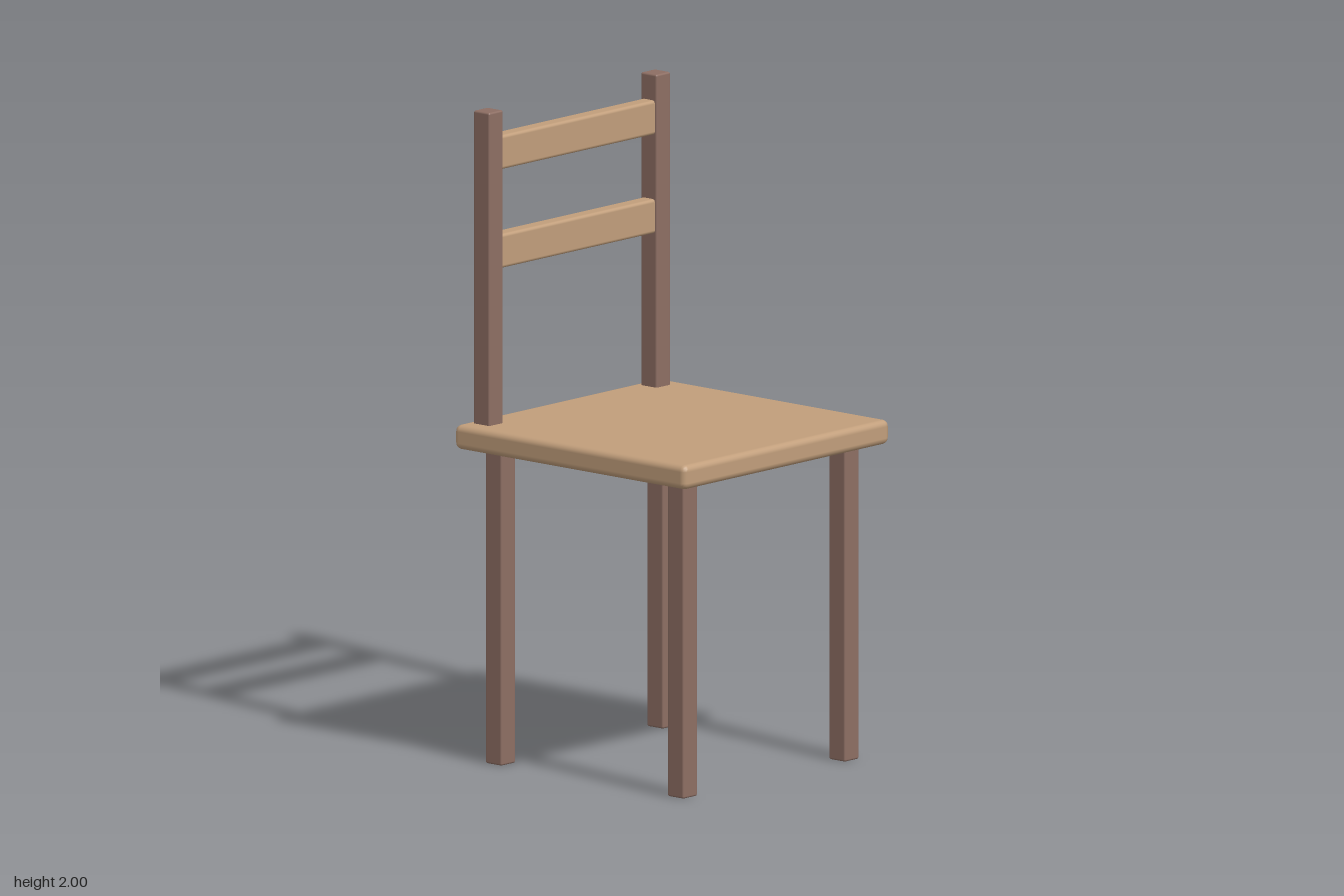
import * as THREE from 'three';
import { RoundedBoxGeometry } from 'three/addons/geometries/RoundedBoxGeometry.js';

export function createModel() {
  const chair = new THREE.Group();
  chair.name = 'chair';
  const lightWood = new THREE.MeshStandardMaterial({ color: 0xc19e7b });
  const darkWood = new THREE.MeshStandardMaterial({ color: 0x8d6e63 });

  // Board with softened edges, placed by its centre
  function board(name, material, [w, h, d], [x, y, z], radius) {
    const mesh = new THREE.Mesh(new RoundedBoxGeometry(w, h, d, 2, radius), material);
    mesh.name = name;
    mesh.position.set(x, y, z);
    chair.add(mesh);
  }

  board('seat', lightWood, [0.93, 0.075, 0.93], [0, 1.0025, 0], 0.02);

  for (const [side, s] of [['left', 1], ['right', -1]]) {
    // Legs reach slightly into the seat
    board(side + 'FrontLeg', darkWood, [0.065, 0.98, 0.065], [s * 0.365, 0.49, 0.367], 0.006);
    board(side + 'BackLeg', darkWood, [0.065, 0.98, 0.065], [s * 0.365, 0.49, -0.365], 0.006);
    // Back posts rise from the seat
    board(side + 'BackPost', darkWood, [0.064, 0.98, 0.064], [s * 0.378, 1.51, -0.402], 0.006);
  }

  // Back rails between the posts
  board('lowerRail', lightWood, [0.72, 0.105, 0.053], [0, 1.565, -0.403], 0.01);
  board('upperRail', lightWood, [0.72, 0.105, 0.053], [0, 1.868, -0.403], 0.01);

  return chair;
}
